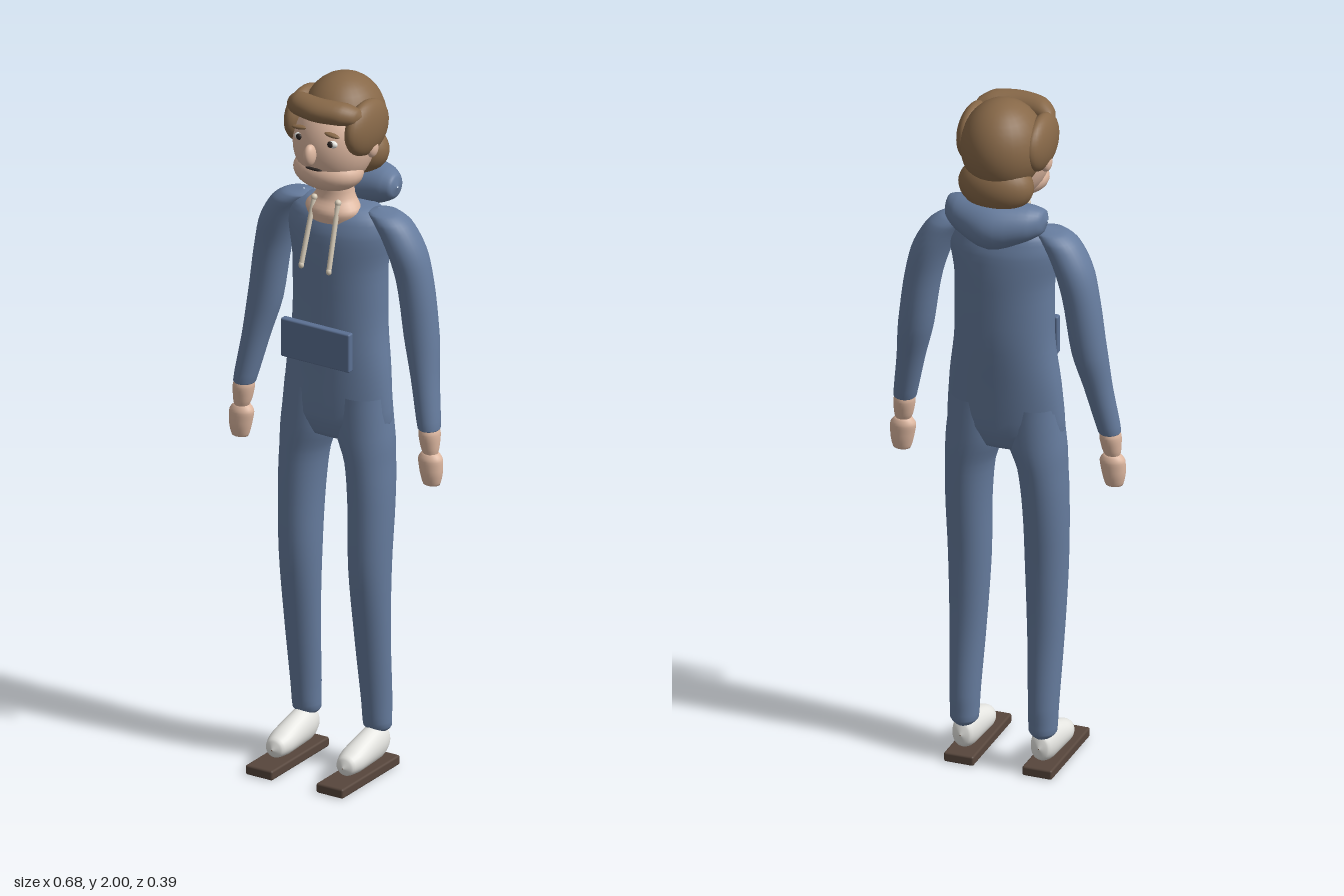
import * as THREE from 'three';
import { RoundedBoxGeometry } from 'three/addons/geometries/RoundedBoxGeometry.js';

const mat = (name, color) => {
  const m = new THREE.MeshStandardMaterial({ color });
  m.name = name;
  return m;
};

// Smooth skin over elliptical sections [x, y, z, ra, rb], stacked along one rising axis.
// Radii: axis y -> (x, z), axis z -> (x, y), axis x -> (z, y).
function loft(sections, axis = 'y', sides = 28, steps = 4) {
  const pos = [], idx = [];
  const mid = new THREE.CatmullRomCurve3(sections.map(s => new THREE.Vector3(s[0], s[1], s[2])));
  const rad = new THREE.CatmullRomCurve3(sections.map(s => new THREE.Vector3(s[3], s[4], 0)));
  const rows = (sections.length - 1) * steps;
  for (let i = 0; i <= rows; i++) {
    const c = mid.getPoint(i / rows), r = rad.getPoint(i / rows);
    const ra = Math.max(r.x, 0.0005), rb = Math.max(r.y, 0.0005);
    for (let j = 0; j < sides; j++) {
      const a = j / sides * Math.PI * 2, u = ra * Math.cos(a), v = rb * Math.sin(a);
      if (axis === 'y') pos.push(c.x + u, c.y, c.z + v);
      else if (axis === 'z') pos.push(c.x + u, c.y - v, c.z);
      else pos.push(c.x, c.y + v, c.z + u);
      if (i < rows) {
        const k = (j + 1) % sides, p = i * sides, q = p + sides;
        idx.push(p + j, q + j, p + k, q + j, q + k, p + k);
      }
    }
  }
  const g = new THREE.BufferGeometry();
  g.setAttribute('position', new THREE.Float32BufferAttribute(pos, 3));
  g.setIndex(idx);
  g.computeVertexNormals();
  return g;
}

export function createModel() {
  const root = new THREE.Group();
  const cloth = mat('blue cloth', 0x667c9e), pocketBlue = mat('pocket blue', 0x5b7093);
  const skin = mat('skin', 0xddb7a0), hair = mat('brown hair', 0x876848);
  const white = mat('shoe white', 0xe6e6e2), wood = mat('dark brown sole', 0x57463c);
  const cord = mat('cord beige', 0xd6cbb8), dark = mat('dark detail', 0x2c2522);

  const add = (name, geometry, material, parent = root) => {
    const m = new THREE.Mesh(geometry, material);
    m.name = name;
    parent.add(m);
    return m;
  };
  const ball = (name, material, p, r, parent) => {
    const m = add(name, new THREE.SphereGeometry(1, 28, 20), material, parent);
    m.position.set(...p);
    m.scale.set(...r);
    return m;
  };

  // Torso and neck
  add('torso', loft([
    [0, 0.95, -0.02, 0.01, 0.01], [0, 0.97, -0.02, 0.13, 0.06], [0, 1.03, -0.021, 0.167, 0.08],
    [0, 1.16, -0.027, 0.158, 0.087], [0, 1.31, -0.033, 0.14, 0.096], [0, 1.46, -0.033, 0.14, 0.098],
    [0, 1.56, -0.033, 0.155, 0.095], [0, 1.61, -0.035, 0.145, 0.08], [0, 1.637, -0.04, 0.1, 0.06],
    [0, 1.645, -0.04, 0.005, 0.005],
  ]), cloth);
  add('neck', loft([
    [0, 1.6, 0, 0.07, 0.057], [0, 1.63, 0.002, 0.082, 0.057],
    [0, 1.665, -0.008, 0.056, 0.048], [0, 1.74, -0.005, 0.045, 0.045],
  ]), skin);

  // Hood lying behind the neck
  add('hood', loft([
    [-0.146, 1.685, -0.09, 0.003, 0.003], [-0.136, 1.683, -0.095, 0.033, 0.032],
    [-0.1, 1.678, -0.107, 0.056, 0.05], [0, 1.665, -0.122, 0.075, 0.07],
    [0.1, 1.678, -0.107, 0.056, 0.05], [0.136, 1.683, -0.095, 0.033, 0.032],
    [0.146, 1.685, -0.09, 0.003, 0.003],
  ], 'x'), cloth);

  // Front pocket
  add('pocket', new RoundedBoxGeometry(0.22, 0.112, 0.022, 2, 0.005), pocketBlue)
    .position.set(0, 1.254, 0.084);

  // Head
  const head = new THREE.Group();
  head.name = 'head';
  root.add(head);
  ball('face', skin, [0, 1.825, 0], [0.113, 0.13, 0.108], head);
  ball('jaw', skin, [0, 1.748, 0.026], [0.102, 0.056, 0.077], head);
  ball('nose', skin, [0, 1.82, 0.119], [0.016, 0.031, 0.022], head);
  ball('hairCap', hair, [0, 1.87, -0.05], [0.113, 0.13, 0.122], head);
  ball('hairBack', hair, [0, 1.772, -0.097], [0.106, 0.076, 0.071], head);
  add('fringe', loft([
    [-0.116, 1.925, 0.035, 0.003, 0.003], [-0.105, 1.928, 0.044, 0.026, 0.02],
    [-0.07, 1.935, 0.062, 0.038, 0.031], [0, 1.936, 0.076, 0.04, 0.032],
    [0.07, 1.935, 0.062, 0.038, 0.031], [0.105, 1.928, 0.044, 0.026, 0.02],
    [0.116, 1.925, 0.035, 0.003, 0.003],
  ], 'x'), hair, head);
  ball('mouth', dark, [0, 1.773, 0.1], [0.026, 0.004, 0.006], head);

  for (const s of [-1, 1]) {
    const side = s > 0 ? 'left' : 'right';

    // Face and hair at each side
    ball(side + 'SideHair', hair, [s * 0.097, 1.877, -0.012], [0.036, 0.078, 0.095], head);
    ball(side + 'Ear', skin, [s * 0.112, 1.82, -0.015], [0.016, 0.027, 0.021], head);
    ball(side + 'Eye', white, [s * 0.05, 1.853, 0.088], [0.018, 0.011, 0.01], head);
    ball(side + 'Pupil', dark, [s * 0.05, 1.854, 0.095], [0.009, 0.009, 0.006], head);
    const brow = ball(side + 'Eyebrow', hair, [s * 0.052, 1.88, 0.09], [0.024, 0.006, 0.009], head);
    brow.rotation.z = -s * 0.1;

    // Hood cord
    const path = new THREE.LineCurve3(
      new THREE.Vector3(s * 0.038, 1.66, 0.038), new THREE.Vector3(s * 0.044, 1.48, 0.093));
    add(side + 'Cord', new THREE.TubeGeometry(path, 1, 0.007, 10), cord);
    ball(side + 'CordTop', cord, [s * 0.038, 1.66, 0.038], [0.009, 0.009, 0.009]);
    ball(side + 'CordEnd', cord, [s * 0.044, 1.48, 0.093], [0.008, 0.01, 0.008]);

    // Arm, wrist and hand
    add(side + 'Arm', loft([
      [s * 0.296, 1.035, -0.014, 0.02, 0.02], [s * 0.295, 1.045, -0.015, 0.031, 0.032],
      [s * 0.27, 1.18, -0.034, 0.039, 0.04], [s * 0.25, 1.29, -0.048, 0.049, 0.048],
      [s * 0.226, 1.45, -0.05, 0.051, 0.052], [s * 0.2, 1.54, -0.045, 0.054, 0.058],
      [s * 0.163, 1.605, -0.04, 0.052, 0.054], [s * 0.135, 1.63, -0.038, 0.045, 0.04],
      [s * 0.12, 1.639, -0.038, 0.003, 0.003],
    ]), cloth);
    add(side + 'Wrist', loft([
      [s * 0.303, 0.965, -0.01, 0.018, 0.016], [s * 0.3, 0.99, -0.012, 0.026, 0.024],
      [s * 0.297, 1.03, -0.014, 0.03, 0.031], [s * 0.295, 1.05, -0.015, 0.026, 0.026],
    ]), skin);
    add(side + 'Hand', loft([
      [s * 0.306, 0.879, -0.01, 0.002, 0.002], [s * 0.306, 0.885, -0.01, 0.024, 0.019],
      [s * 0.305, 0.92, -0.01, 0.033, 0.027], [s * 0.302, 0.955, -0.011, 0.036, 0.028],
      [s * 0.301, 0.975, -0.012, 0.024, 0.02], [s * 0.3, 0.982, -0.012, 0.002, 0.002],
    ]), skin);

    // Leg
    add(side + 'Leg', loft([
      [s * 0.113, 0.1, -0.05, 0.012, 0.012], [s * 0.113, 0.125, -0.042, 0.039, 0.038],
      [s * 0.113, 0.2, -0.037, 0.042, 0.043], [s * 0.112, 0.4, -0.017, 0.051, 0.047],
      [s * 0.111, 0.6, -0.007, 0.059, 0.06], [s * 0.111, 0.78, -0.014, 0.063, 0.069],
      [s * 0.104, 0.9, -0.019, 0.068, 0.074], [s * 0.087, 0.99, -0.021, 0.082, 0.077],
      [s * 0.08, 1.1, -0.022, 0.078, 0.075],
    ]), cloth);

    // Shoe on its flat board
    add(side + 'Shoe', loft([
      [s * 0.113, 0.08, -0.074, 0.002, 0.002], [s * 0.113, 0.08, -0.064, 0.026, 0.036],
      [s * 0.113, 0.08, -0.025, 0.037, 0.051], [s * 0.113, 0.073, 0.03, 0.038, 0.045],
      [s * 0.113, 0.064, 0.085, 0.038, 0.036], [s * 0.113, 0.058, 0.12, 0.027, 0.026],
      [s * 0.113, 0.056, 0.132, 0.002, 0.002],
    ], 'z'), white);
    add(side + 'Board', new RoundedBoxGeometry(0.086, 0.028, 0.284, 2, 0.006), wood)
      .position.set(s * 0.113, 0.014, 0.055);
  }
  return root;
}
